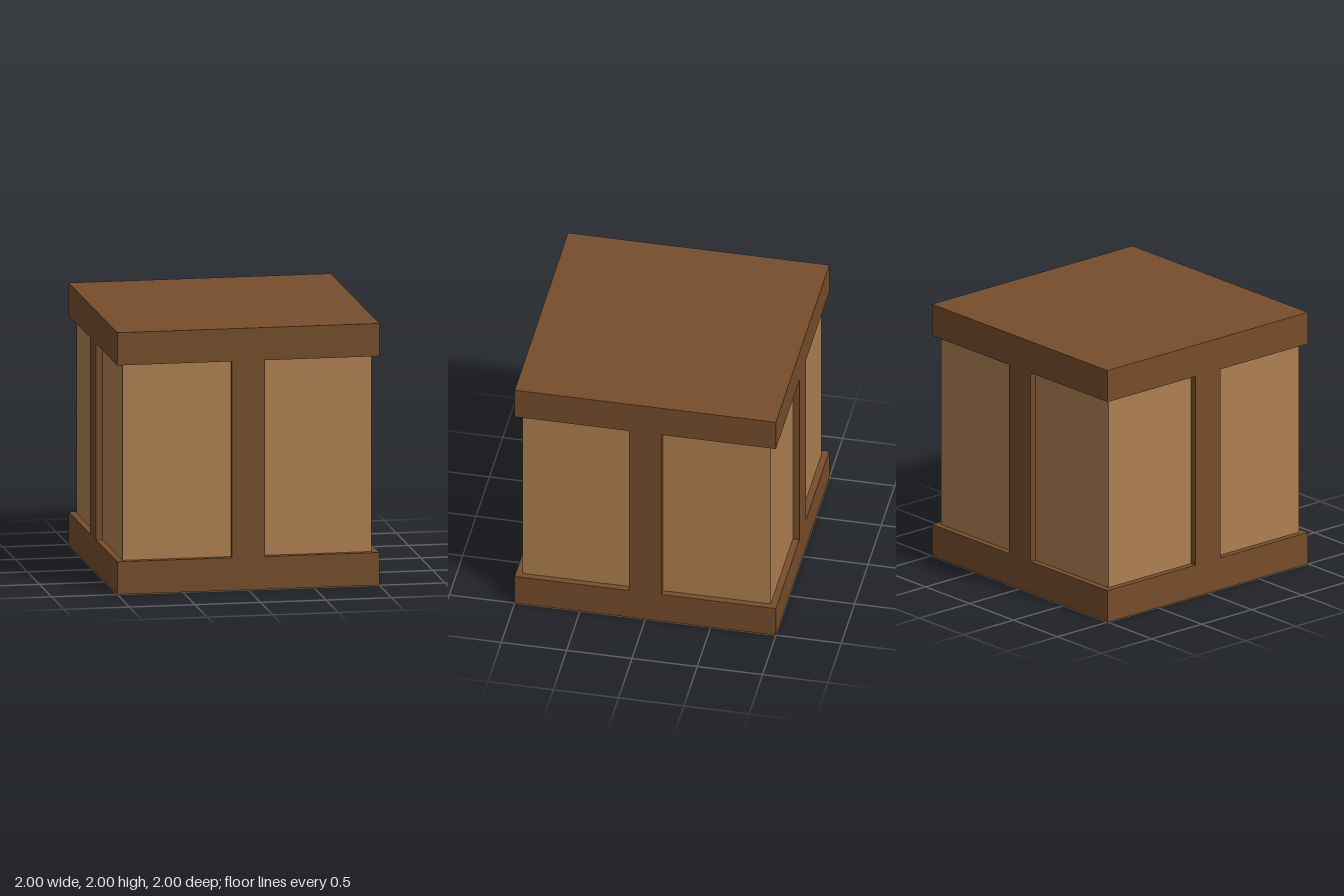
import * as THREE from 'three';

export function createModel() {
  const model = new THREE.Group();
  model.name = 'crate';

  const darkWood = new THREE.MeshStandardMaterial({ color: 0x764d2b });
  darkWood.name = 'dark wood';
  const lightWood = new THREE.MeshStandardMaterial({ color: 0xae7f50 });
  lightWood.name = 'light wood';

  const SIZE = 2, SLAB = 0.25, INSET = 0.05;
  const innerHeight = SIZE - 2 * SLAB;

  function addBox(name, material, w, h, d, x, y, z) {
    const mesh = new THREE.Mesh(new THREE.BoxGeometry(w, h, d), material);
    mesh.name = name;
    mesh.position.set(x, y, z);
    model.add(mesh);
    return mesh;
  }

  // Recessed light body between the two slabs
  const bodySize = SIZE - 2 * INSET;
  addBox('body', lightWood, bodySize, innerHeight, bodySize, 0, SIZE / 2, 0);

  // Base and lid slabs
  addBox('base', darkWood, SIZE, SLAB, SIZE, 0, SLAB / 2, 0);
  addBox('lid', darkWood, SIZE, SLAB, SIZE, 0, SIZE - SLAB / 2, 0);

  // One upright batten in the middle of each side
  const reach = SIZE / 2 - INSET / 2;
  ['front', 'left', 'back', 'right'].forEach((side, i) => {
    const angle = i * Math.PI / 2;
    const batten = addBox(side + 'Batten', darkWood, SLAB, innerHeight, INSET,
      Math.sin(angle) * reach, SIZE / 2, Math.cos(angle) * reach);
    batten.rotation.y = angle;
  });

  return model;
}
